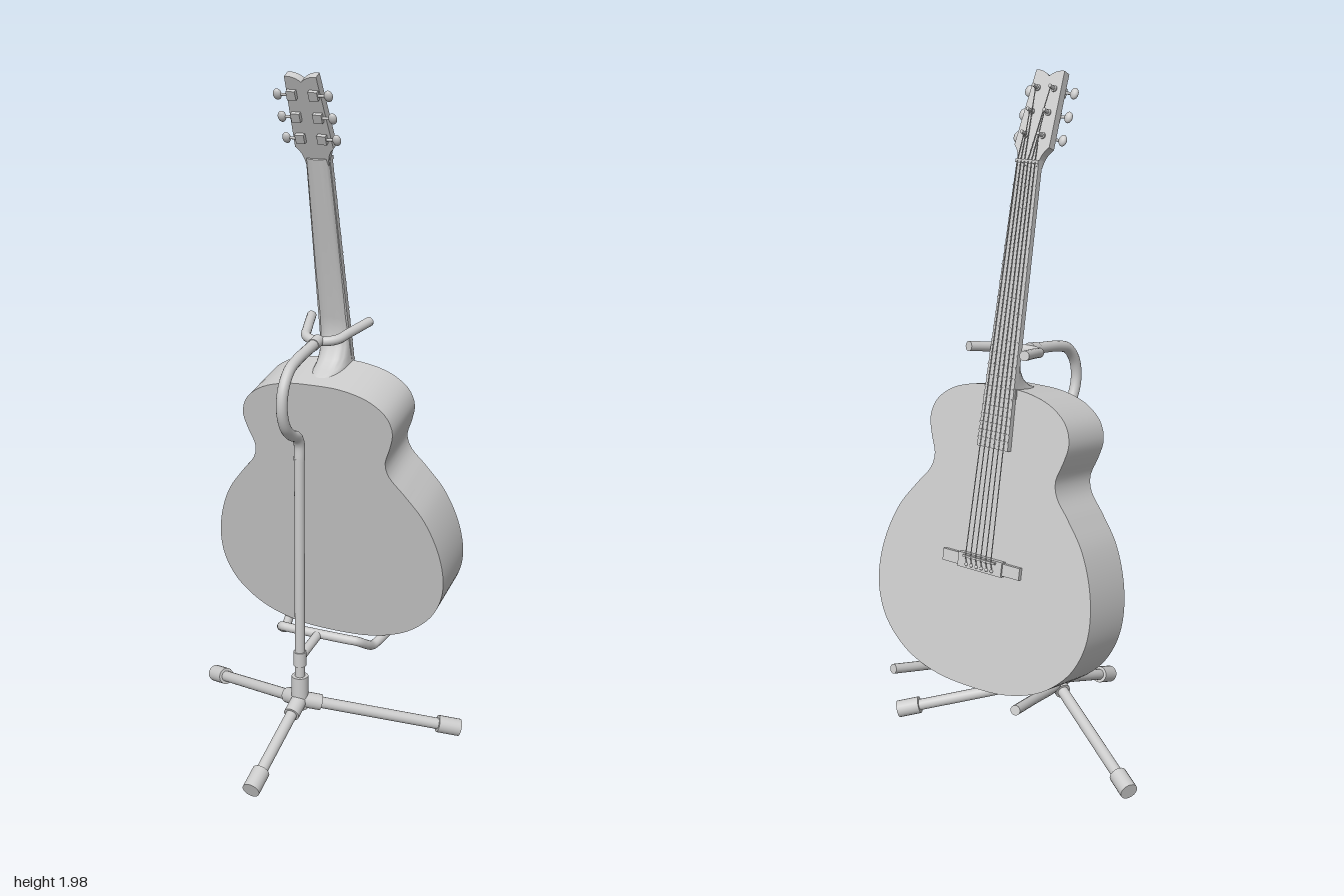
import * as THREE from 'three';
import { toCreasedNormals } from 'three/addons/utils/BufferGeometryUtils.js';

const material = new THREE.MeshStandardMaterial({ color: 0xcccccc });
const V = (x, y, z) => new THREE.Vector3(x, y, z);

function add(parent, name, geometry, x = 0, y = 0, z = 0) {
  const mesh = new THREE.Mesh(geometry, material);
  mesh.name = name;
  mesh.position.set(x, y, z);
  parent.add(mesh);
  return mesh;
}

// Closed cylinder between two points
function rod(parent, name, a, b, r, sides = 20) {
  const dir = b.clone().sub(a);
  const mesh = add(parent, name, new THREE.CylinderGeometry(r, r, dir.length(), sides));
  mesh.position.copy(a).add(b).multiplyScalar(0.5);
  mesh.quaternion.setFromUnitVectors(V(0, 1, 0), dir.normalize());
  return mesh;
}

// Bent tube with closed ends
function tube(parent, name, points, r) {
  const curve = new THREE.CatmullRomCurve3(points, false, 'centripetal');
  add(parent, name, new THREE.TubeGeometry(curve, 96, r, 16));
  for (const t of [0, 1]) {
    const p = curve.getPoint(t), d = curve.getTangent(t).multiplyScalar(0.003);
    rod(parent, name + 'End', p.clone().sub(d), p.clone().add(d), r, 16);
  }
}

// Flat plate from an outline, extruded towards +z
function plate(shape, depth, crease = 0.6) {
  const geometry = new THREE.ExtrudeGeometry(shape, { depth, bevelEnabled: false, curveSegments: 24 });
  return toCreasedNormals(geometry, crease);
}

// Body outline from half-width and height pairs, mirrored
function bodyShape() {
  const half = [[0.13, 0.01], [0.24, 0.05], [0.32, 0.12], [0.357, 0.195], [0.367, 0.27], [0.354, 0.365],
    [0.315, 0.465], [0.26, 0.54], [0.216, 0.595], [0.207, 0.635], [0.225, 0.69], [0.236, 0.74],
    [0.22, 0.79], [0.17, 0.832], [0.09, 0.857]];
  const pts = [[0, 0], ...half, [0, 0.862], ...half.map(([x, y]) => [-x, y]).reverse()];
  const curve = new THREE.CatmullRomCurve3(pts.map(([x, y]) => V(x, y, 0)), true);
  return new THREE.Shape(curve.getSpacedPoints(160).slice(0, -1).map(p => new THREE.Vector2(p.x, p.y)));
}

// Neck lofted from D-shaped sections: [height, half-width, front z, back z]
function neckGeometry() {
  const rows = [[0.835, 0.052, -0.185, -0.006], [0.856, 0.05, -0.185, -0.02], [0.868, 0.048, -0.185, -0.075],
    [0.887, 0.047, -0.185, -0.115], [0.912, 0.046, -0.184, -0.143], [0.95, 0.045, -0.183, -0.161],
    [1.0, 0.044, -0.182, -0.163], [1.25, 0.039, -0.174, -0.15], [1.48, 0.034, -0.168, -0.14]];
  const n = 16, pos = [], index = [];
  rows.forEach(([y, w, f, b]) => {
    for (let i = 0; i <= n; i++) {
      const a = Math.PI * i / n;
      pos.push(w * Math.cos(a), y, f + (b - f) * Math.sin(a) ** 0.7);
    }
  });
  const m = n + 1;
  for (let r = 0; r < rows.length - 1; r++) {
    for (let i = 0; i < m; i++) {
      const a = r * m + i, b = r * m + (i + 1) % m;
      index.push(a, a + m, b, b, a + m, b + m);
    }
  }
  const top = (rows.length - 1) * m;
  for (let i = 1; i < n; i++) index.push(0, i, i + 1, top, top + i + 1, top + i);
  const geometry = new THREE.BufferGeometry();
  geometry.setAttribute('position', new THREE.Float32BufferAttribute(pos, 3));
  geometry.setIndex(index);
  return toCreasedNormals(geometry, 0.9);
}

function createGuitar() {
  const guitar = new THREE.Group();
  guitar.name = 'guitar';
  add(guitar, 'body', plate(bodyShape(), 0.18), 0, 0, -0.18);
  add(guitar, 'neck', neckGeometry());

  // Sound hole rosette
  add(guitar, 'soundHole', new THREE.CircleGeometry(0.102, 48), 0, 0.6, -0.1812).rotation.y = Math.PI;

  // Fretboard, frets and nut
  const board = new THREE.Group();
  board.name = 'fretboard';
  board.position.set(0, 0.69, -0.197);
  board.rotation.x = 0.024;
  guitar.add(board);
  const outline = [[-0.052, 0], [0.052, 0], [0.036, 0.785], [-0.036, 0.785]];
  add(board, 'fingerboard', plate(new THREE.Shape(outline.map(p => new THREE.Vector2(...p))), 0.018));
  const scale = 1.11;
  for (let i = 1; i <= 20; i++) {
    const y = 0.785 - scale * (1 - 2 ** (-i / 12));
    if (y > 0.01) add(board, 'fret', new THREE.BoxGeometry(2 * (0.052 - 0.0204 * y), 0.004, 0.004), 0, y, -0.001);
  }
  add(board, 'nut', new THREE.BoxGeometry(0.074, 0.01, 0.022), 0, 0.787, 0.006);

  // Bridge with thin wings, saddle and pins
  add(guitar, 'bridge', new THREE.BoxGeometry(0.264, 0.034, 0.012), 0, 0.36, -0.186);
  add(guitar, 'bridgeCentre', new THREE.BoxGeometry(0.15, 0.042, 0.018), 0, 0.36, -0.188);
  add(guitar, 'saddle', new THREE.BoxGeometry(0.11, 0.006, 0.01), 0, 0.374, -0.2);

  // Headstock leaning back from the nut
  const head = new THREE.Group();
  head.name = 'headstock';
  head.position.set(0, 1.475, -0.165);
  head.rotation.x = 0.235;
  guitar.add(head);
  const shape = new THREE.Shape();
  shape.moveTo(-0.034, -0.012);
  shape.lineTo(0.034, -0.012);
  shape.quadraticCurveTo(0.036, 0.025, 0.057, 0.042);
  shape.lineTo(0.046, 0.256);
  shape.quadraticCurveTo(0.02, 0.258, 0, 0.24);
  shape.quadraticCurveTo(-0.02, 0.258, -0.046, 0.256);
  shape.lineTo(-0.057, 0.042);
  shape.quadraticCurveTo(-0.036, 0.025, -0.034, -0.012);
  add(head, 'headPlate', plate(shape, 0.025), 0, 0, -0.012);

  // Tuners and strings
  for (const side of [-1, 1]) {
    [0.073, 0.138, 0.205].forEach((y, i) => {
      rod(head, 'tunerPost', V(side * 0.027, y, -0.036), V(side * 0.027, y, 0), 0.005, 12);
      rod(head, 'tunerBushing', V(side * 0.027, y, -0.016), V(side * 0.027, y, 0), 0.009, 12);
      rod(head, 'tunerShaft', V(side * 0.025, y, 0.018), V(side * 0.072, y, 0.018), 0.004, 10);
      add(head, 'tunerGear', new THREE.BoxGeometry(0.026, 0.026, 0.014), side * 0.032, y, 0.018);
      const knob = add(head, 'tunerKnob', new THREE.SphereGeometry(1, 16, 12), side * 0.074, y, 0.018);
      knob.scale.set(0.012, 0.016, 0.009);
      const k = 2.5 - i;
      rod(head, 'headString', V(side * k * 0.0115, 0.002, -0.021), V(side * 0.024, y, -0.027), 0.0015, 6);
      rod(guitar, 'string', V(side * k * 0.0175, 0.374, -0.206), V(side * k * 0.0115, 1.477, -0.185), 0.0015, 6);
      rod(guitar, 'stringTail', V(side * k * 0.0175, 0.35, -0.196), V(side * k * 0.0175, 0.374, -0.206), 0.0015, 6);
      add(guitar, 'bridgePin', new THREE.SphereGeometry(0.005, 10, 8), side * k * 0.0175, 0.35, -0.198);
    });
  }

  // End pin and socket plate under the body
  rod(guitar, 'endPin', V(0, -0.014, -0.09), V(0, 0.01, -0.09), 0.01);
  add(guitar, 'socketPlate', new THREE.BoxGeometry(0.06, 0.012, 0.035), -0.08, 0.003, -0.09);

  guitar.position.set(0.0075, 0.275, -0.16);
  guitar.rotation.x = 0.2;
  return guitar;
}

function createStand() {
  const stand = new THREE.Group();
  stand.name = 'stand';
  const pz = 0.085;

  // Post bending into the upper hook
  rod(stand, 'post', V(0, 0.14, pz), V(0, 0.93, pz), 0.015);
  tube(stand, 'hook', [V(0, 0.92, pz), V(0, 0.965, pz), V(0, 0.99, 0.1), V(0, 1.01, 0.14), V(0, 1.045, 0.178),
    V(0, 1.1, 0.197), V(0, 1.155, 0.187), V(0, 1.198, 0.15), V(0, 1.215, 0.1), V(0, 1.235, -0.03)], 0.016);
  rod(stand, 'hookSleeve', V(0, 1.232, -0.01), V(0, 1.238, -0.045), 0.018);

  // Neck yoke
  const yoke = [V(0.092, 1.266, -0.2), V(0.066, 1.25, -0.115), V(0.05, 1.24, -0.07), V(0.025, 1.236, -0.052)];
  const flip = p => V(-p.x, p.y, p.z);
  tube(stand, 'neckYoke', [...yoke, V(0, 1.235, -0.048), ...yoke.map(flip).reverse()], 0.014);

  // Lower cradle
  rod(stand, 'cradleArm', V(0, 0.293, pz), V(0, 0.312, -0.05), 0.014);
  rod(stand, 'cradleCollar', V(0, 0.27, pz), V(0, 0.315, pz), 0.019);
  const arm = [V(0.213, 0.342, -0.42), V(0.185, 0.31, -0.295), V(0.155, 0.274, -0.155), V(0.147, 0.27, -0.125),
    V(0.14, 0.29, -0.085), V(0.125, 0.31, -0.055), V(0.1, 0.312, -0.05)];
  tube(stand, 'cradle', [...arm, ...arm.map(flip).reverse()], 0.014);

  // Hub and three legs with rubber feet
  rod(stand, 'hub', V(0, 0.13, pz), V(0, 0.235, pz), 0.025, 28);
  for (const foot of [V(0, 0.031, 0.415), V(0.422, 0.031, -0.162), V(-0.422, 0.031, -0.162)]) {
    const start = V(0, 0.158, pz);
    const dir = foot.clone().sub(start).normalize();
    rod(stand, 'leg', start, foot, 0.017);
    rod(stand, 'legSocket', start, start.clone().addScaledVector(dir, 0.065), 0.024);
    rod(stand, 'foot', foot.clone().addScaledVector(dir, -0.07), foot, 0.026);
  }
  return stand;
}

export function createModel() {
  const model = new THREE.Group();
  model.name = 'guitarOnStand';
  model.add(createGuitar(), createStand());
  return model;
}
